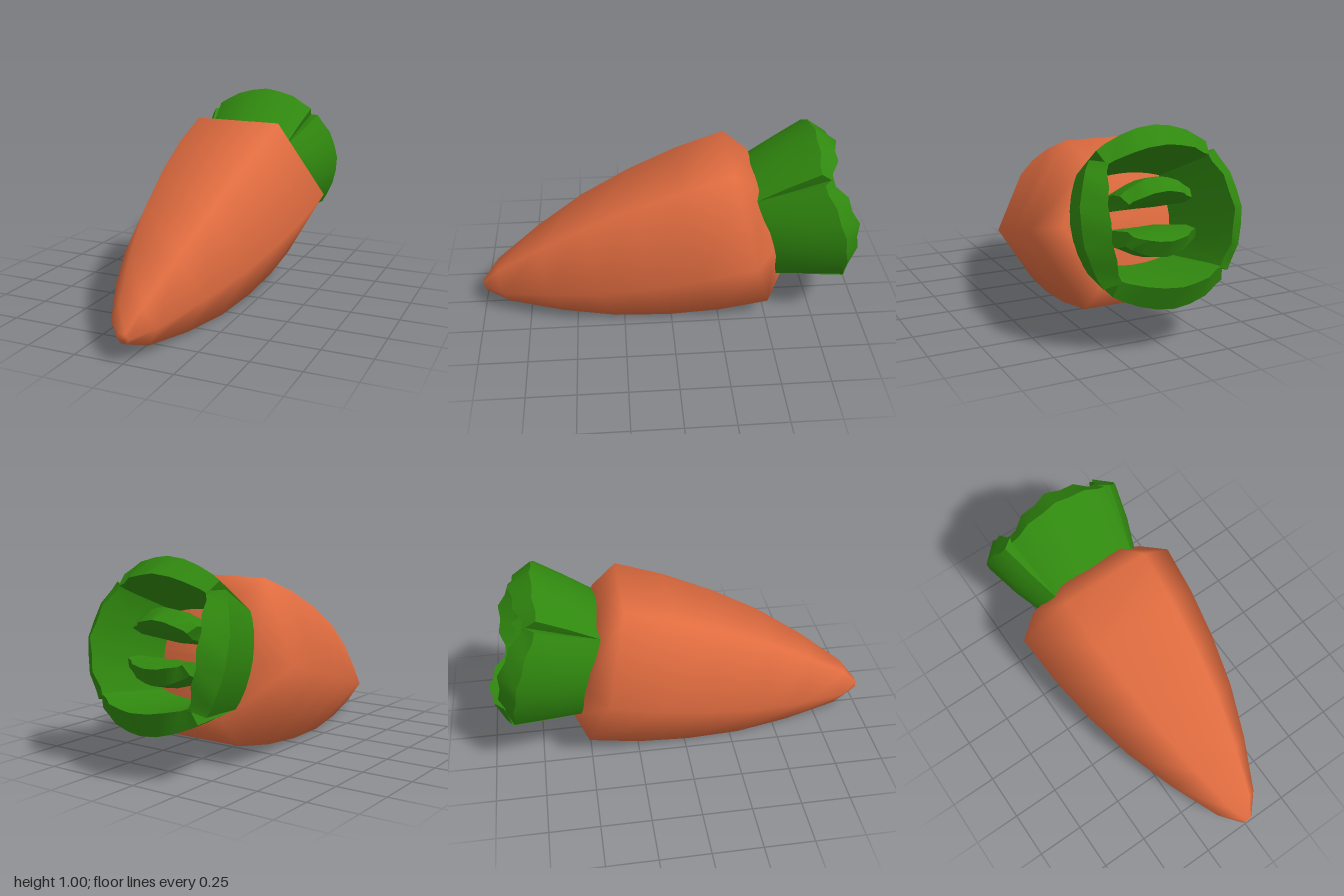
import * as THREE from 'three';
import { toCreasedNormals } from 'three/addons/utils/BufferGeometryUtils.js';

const orange = new THREE.MeshStandardMaterial({ color: 0xe06c40 });
orange.name = 'carrotOrange';
const green = new THREE.MeshStandardMaterial({ color: 0x30880f });
green.name = 'leafGreen';

// Thick arched leaf. Each row is [along axis, radius, half width, arch drop, frill],
// running up the outer face to the tip and back down the inner face.
function leafGeometry(rows, shorten) {
  const us = [-1, -1, -0.85, -0.6, -0.3, 0, 0.3, 0.6, 0.85, 1, 1];
  const n = rows.length;
  const pos = [];
  const index = [];
  us.forEach((u, i) => {
    const ring = rows.map(([s, r, w, drop, frill]) => [
      u * w,
      s + frill * (shorten * u * u + (i % 2 ? 0 : 0.018)),
      r - drop * u * u,
    ]);
    // the first and last columns collapse to a point and close the sides
    if (i === 0 || i === us.length - 1) {
      const mid = [0, 1, 2].map((k) => ring.reduce((sum, p) => sum + p[k], 0) / n);
      ring.forEach(() => pos.push(...mid));
    } else {
      ring.forEach((p) => pos.push(...p));
    }
  });
  for (let i = 0; i < us.length - 1; i++) {
    for (let j = 0; j < n; j++) {
      const a = i * n + j;
      const b = i * n + ((j + 1) % n);
      index.push(a, b, a + n, b, b + n, a + n);
    }
  }
  const geo = new THREE.BufferGeometry();
  geo.setAttribute('position', new THREE.Float32BufferAttribute(pos, 3));
  geo.setIndex(index);
  return toCreasedNormals(geo, 0.7);
}

export function createModel() {
  const model = new THREE.Group();
  model.name = 'carrot';

  // Tilted frame: local +y runs from the crown to the tip
  const carrot = new THREE.Group();
  carrot.name = 'tiltedCarrot';
  carrot.position.set(0, 0.49, -0.405);
  carrot.rotation.x = THREE.MathUtils.degToRad(105);
  model.add(carrot);

  // Six-sided tapering root
  const profile = [
    [0, -0.12], [0.34, -0.1], [0.466, 0], [0.447, 0.264], [0.404, 0.532],
    [0.338, 0.806], [0.239, 1.079], [0.119, 1.342], [0.031, 1.448], [0, 1.452],
  ].map(([r, s]) => new THREE.Vector2(r, s));
  const root = new THREE.Mesh(new THREE.LatheGeometry(profile, 6, Math.PI / 6), orange);
  root.name = 'root';
  carrot.add(root);

  // Four outer leaves in a flaring cup
  const outer = leafGeometry([
    [-0.05, 0.285, 0.23, 0.06, 0],
    [-0.25, 0.36, 0.255, 0.08, 0],
    [-0.45, 0.408, 0.28, 0.09, 0.5],
    [-0.54, 0.31, 0.26, 0.06, 1],
    [-0.44, 0.285, 0.25, 0.05, 0.5],
    [-0.06, 0.21, 0.2, 0.03, 0],
  ], 0.08);
  for (let k = 0; k < 4; k++) {
    const leaf = new THREE.Mesh(outer, green);
    leaf.name = 'outerLeaf';
    leaf.rotation.y = (k * Math.PI) / 2;
    carrot.add(leaf);
  }

  // Two smaller leaves inside the cup
  const inner = leafGeometry([
    [-0.06, 0.13, 0.13, 0.03, 0],
    [-0.3, 0.18, 0.17, 0.06, 0],
    [-0.42, 0.18, 0.18, 0.07, 0.5],
    [-0.49, 0.11, 0.16, 0.04, 1],
    [-0.4, 0.06, 0.15, 0.01, 0.5],
    [-0.06, 0.04, 0.12, 0, 0],
  ], 0.06);
  for (let k = 0; k < 2; k++) {
    const leaf = new THREE.Mesh(inner, green);
    leaf.name = 'innerLeaf';
    leaf.rotation.y = k * Math.PI;
    carrot.add(leaf);
  }

  return model;
}
